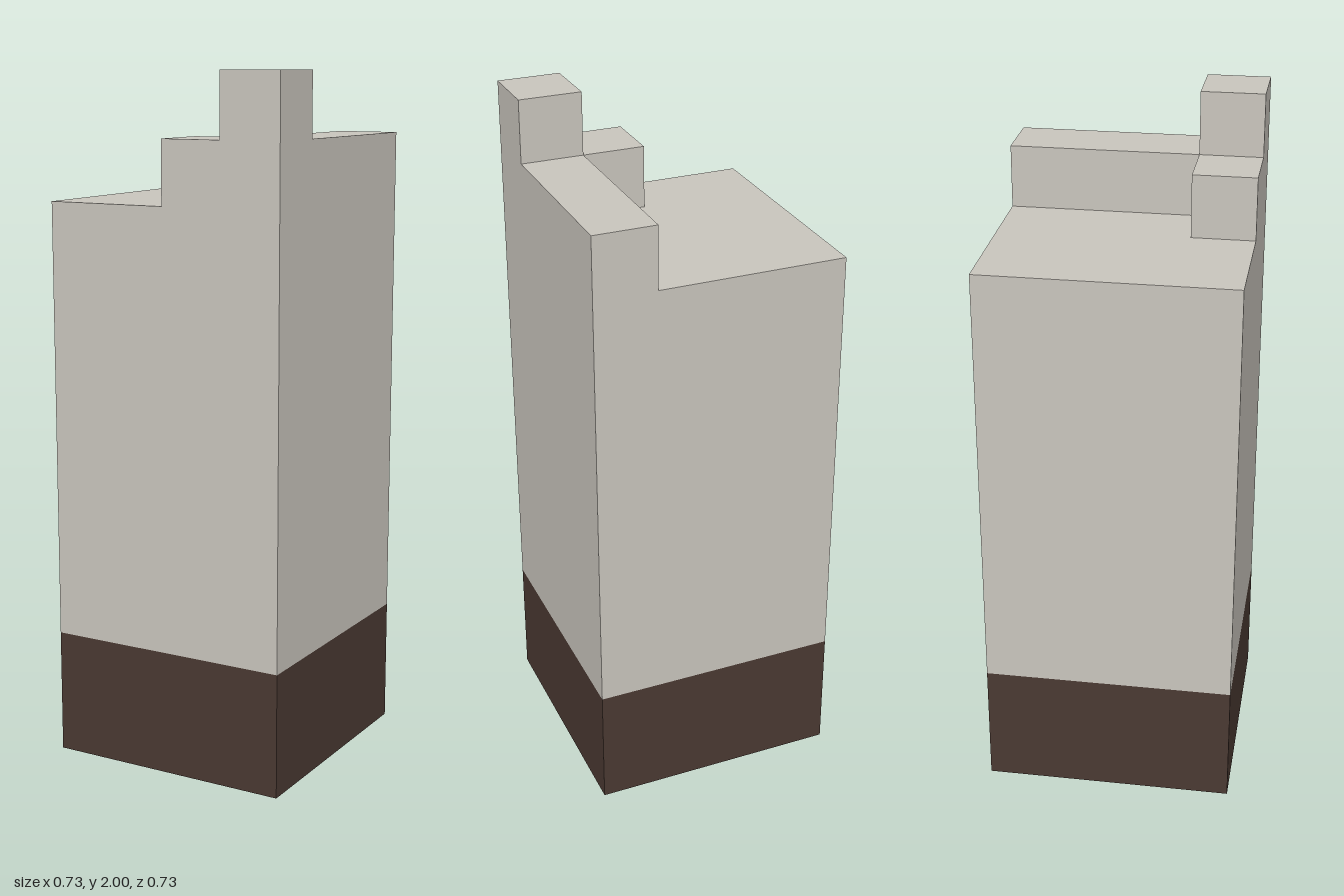
import * as THREE from 'three';

export function createModel() {
  const model = new THREE.Group();
  model.name = 'steppedPillar';

  const stone = new THREE.MeshStandardMaterial({ color: 0xc9c5bd });
  stone.name = 'pale stone';
  const brown = new THREE.MeshStandardMaterial({ color: 0x4a3932 });
  brown.name = 'dark brown';

  // Everything sits on a cubic grid, eleven cells tall
  const U = 2 / 11;

  // Box between two grid corners
  function block(name, material, min, max) {
    const size = max.map((v, i) => (v - min[i]) * U);
    const mesh = new THREE.Mesh(new THREE.BoxGeometry(...size), material);
    mesh.position.set(...max.map((v, i) => ((v + min[i]) / 2) * U));
    mesh.name = name;
    model.add(mesh);
  }

  block('base', brown, [-2, 0, -2], [2, 2, 2]);
  block('shaft', stone, [-2, 2, -2], [2, 9, 2]);

  // Broken top: raised left edge, front step and corner post
  block('sideRim', stone, [1, 9, -2], [2, 10, 2]);
  block('frontStep', stone, [0, 9, 1], [1, 10, 2]);
  block('cornerPost', stone, [1, 10, 1], [2, 11, 2]);

  return model;
}
